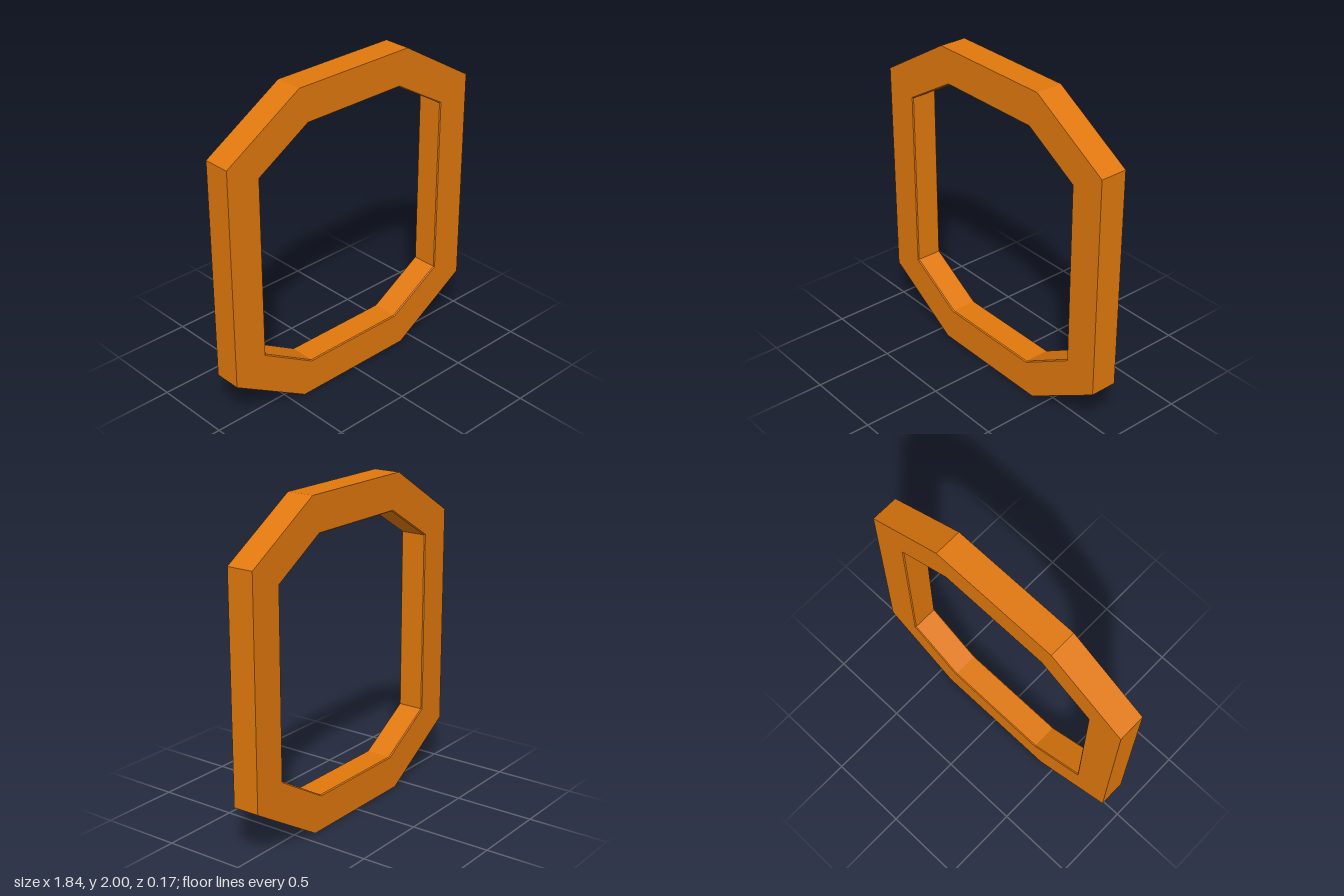
import * as THREE from 'three';

// Eight corners, counter-clockwise seen from the front, centred on y = 1
function octagon(halfW, sideY, topX, halfH, z) {
  return [
    [halfW, -sideY], [halfW, sideY], [topX, halfH], [-topX, halfH],
    [-halfW, sideY], [-halfW, -sideY], [-topX, -halfH], [topX, -halfH],
  ].map(([x, y]) => [x, y + 1, z]);
}

// Closed band of flat quads joining successive loops, last back to first
function loftClosed(loops) {
  const pos = [];
  loops.forEach((lower, i) => {
    const upper = loops[(i + 1) % loops.length];
    lower.forEach((a, k) => {
      const n = (k + 1) % lower.length;
      const b = lower[n], c = upper[n], d = upper[k];
      pos.push(...a, ...b, ...c, ...a, ...c, ...d);
    });
  });
  const geo = new THREE.BufferGeometry();
  geo.setAttribute('position', new THREE.Float32BufferAttribute(pos, 3));
  geo.computeVertexNormals();
  return geo;
}

export function createModel() {
  const group = new THREE.Group();
  group.name = 'octagonalFrame';
  const depth = 0.085, bevel = 0.006;

  const outer = (z) => octagon(0.92, 0.69, 0.41, 1, z);
  const rim = (z) => octagon(0.706, 0.571, 0.351, 0.784, z);
  const opening = (z) => octagon(0.7, 0.567, 0.349, 0.778, z);

  // Frame ring with a fine chamfer around the opening on both faces
  const frame = new THREE.Mesh(
    loftClosed([
      outer(-depth), outer(depth),
      rim(depth), opening(depth - bevel),
      opening(bevel - depth), rim(-depth),
    ]),
    new THREE.MeshStandardMaterial({ color: 0xe0780d, flatShading: true }),
  );
  frame.name = 'frame';
  group.add(frame);
  return group;
}
